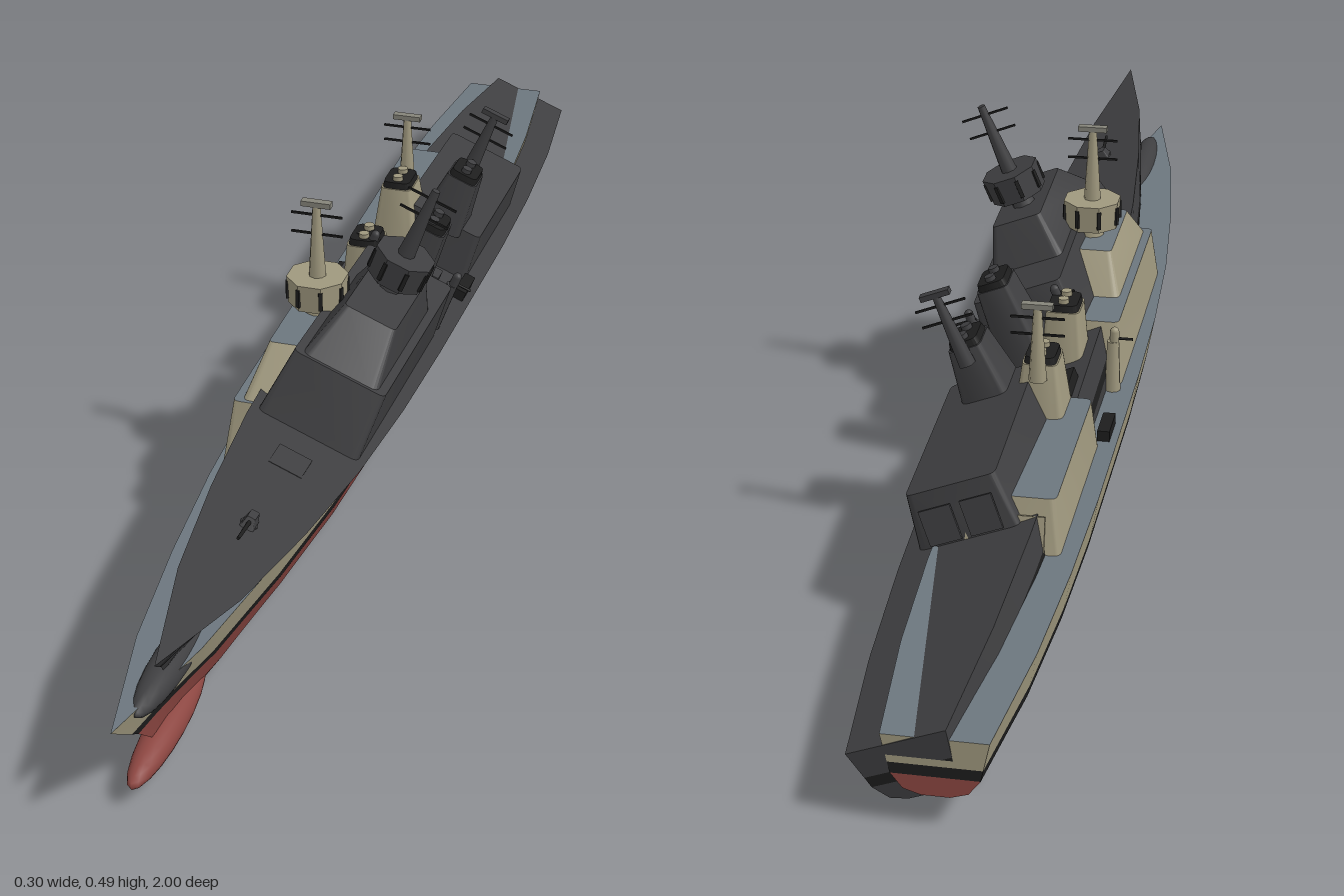
import * as THREE from 'three';
import { mergeGeometries, toCreasedNormals } from 'three/addons/utils/BufferGeometryUtils.js';

const paint = (name, hex) => {
  const m = new THREE.MeshStandardMaterial({ color: hex });
  m.name = name;
  return m;
};

// Half beam from stern (t = 0) to stem (t = 1)
const BEAM = [0.066, 0.086, 0.096, 0.1, 0.1, 0.1, 0.097, 0.088, 0.07, 0.044, 0];
function beam(t) {
  const s = t * 10, i = Math.min(9, Math.floor(s));
  return THREE.MathUtils.lerp(BEAM[i], BEAM[i + 1], s - i);
}

// Hull lines from keel to deck edge: width, fullness, height at stern / middle / bow, stem z
const LINES = [
  { w: 0, p: 1, y: [0.045, 0, 0.02], stem: 0.83 },
  { w: 0.36, p: 1.7, y: [0.045, 0, 0.02], stem: 0.83 },
  { w: 0.74, p: 1.5, y: [0.052, 0.025, 0.04], stem: 0.86 },
  { w: 0.9, p: 1.2, y: [0.072, 0.066, 0.09], stem: 0.915 },
  { w: 0.93, p: 1.15, y: [0.087, 0.082, 0.105], stem: 0.935 },
  { w: 1, p: 1, y: [0.125, 0.128, 0.156], stem: 1 },
];
function linePoint(l, t) {
  const aft = Math.max(0, 1 - t / 0.3) ** 1.5, fore = Math.max(0, (t - 0.55) / 0.45) ** 1.6;
  const y = l.y[1] + (l.y[0] - l.y[1]) * aft + (l.y[2] - l.y[1]) * fore;
  return [l.w * 0.1 * (beam(t) / 0.1) ** l.p, y, -1 + t * (l.stem + 1)];
}

// Skin between two rows of points, mirrored to both sides
function strip(low, high) {
  const n = low.length;
  const sides = [1, -1].map((s) => {
    const g = new THREE.BufferGeometry(), index = [];
    const pos = [...low, ...high].flatMap(([x, y, z]) => [x * s, y, z]);
    for (let i = 0; i < n - 1; i++) {
      const a = i, b = i + 1, d = n + i, c = n + i + 1;
      index.push(...(s > 0 ? [a, d, b, b, d, c] : [a, b, d, b, c, d]));
    }
    g.setAttribute('position', new THREE.Float32BufferAttribute(pos, 3));
    g.setIndex(index);
    g.computeVertexNormals();
    return g;
  });
  return mergeGeometries(sides);
}

// Tapered block with rounded corners standing on its base
function taperBlock(w, l, w1, l1, h, shift = 0, r = 0.012) {
  const a = w / 2, b = l / 2, s = new THREE.Shape();
  s.moveTo(-a + r, -b).lineTo(a - r, -b).quadraticCurveTo(a, -b, a, -b + r);
  s.lineTo(a, b - r).quadraticCurveTo(a, b, a - r, b);
  s.lineTo(-a + r, b).quadraticCurveTo(-a, b, -a, b - r);
  s.lineTo(-a, -b + r).quadraticCurveTo(-a, -b, -a + r, -b);
  const g = new THREE.ExtrudeGeometry(s, { depth: h, bevelEnabled: false, curveSegments: 4 });
  g.rotateX(-Math.PI / 2);
  const p = g.attributes.position;
  for (let i = 0; i < p.count; i++) {
    const f = p.getY(i) / h;
    p.setX(i, p.getX(i) * (1 + (w1 / w - 1) * f));
    p.setZ(i, p.getZ(i) * (1 + (l1 / l - 1) * f) + shift * f);
  }
  return toCreasedNormals(g, 0.6);
}

function buildShip(name, c, forePlate) {
  const ship = new THREE.Group();
  ship.name = name;
  const add = (part, geo, mat, x = 0, y = 0, z = 0) => {
    const m = new THREE.Mesh(geo, mat);
    m.name = part;
    m.position.set(x, y, z);
    ship.add(m);
    return m;
  };
  const box = (part, w, h, d, mat, x, y, z) => add(part, new THREE.BoxGeometry(w, h, d), mat, x, y, z);
  const roofed = [c.deck, c.wall];

  // Hull skin and transom in bands
  const ts = Array.from({ length: 41 }, (_, i) => i / 40);
  const rows = LINES.map((l) => ts.map((t) => linePoint(l, t)));
  const mid = (p) => [0, p[1], p[2]];
  const band = (from, to) => {
    const parts = [];
    for (let j = from; j < to; j++) {
      const a = rows[j], b = rows[j + 1];
      parts.push(strip(a, b), strip([mid(a[0]), a[0]], [mid(b[0]), b[0]]));
    }
    return mergeGeometries(parts);
  };
  add('lowerHull', band(0, 3), c.bottom);
  add('waterlineStripe', band(3, 4), c.black);
  add('upperHull', band(4, 5), c.wall);
  add('deck', strip(rows[5], rows[5].map(mid)), c.deck);

  // Bow bulb and rudders
  const bulb = new THREE.SphereGeometry(1, 20, 14);
  bulb.scale(0.024, 0.022, 0.13);
  add('bowBulb', bulb, c.bottom, 0, 0.032, 0.82);
  for (const s of [1, -1]) box('rudder', 0.008, 0.05, 0.06, c.bottom, s * 0.032, 0.035, -0.88);

  // Forward and aft superstructure
  add('foreHouse', taperBlock(0.158, 0.43, 0.142, 0.37, 0.1, -0.012), roofed, 0, 0.122, 0.17);
  add('bridge', taperBlock(0.118, 0.28, 0.08, 0.17, 0.062, -0.015), roofed, 0, 0.22, 0.2);
  add('hangar', taperBlock(0.15, 0.33, 0.132, 0.3, 0.08, 0.005), roofed, 0, 0.122, -0.4);
  for (const s of [1, -1]) {
    const door = box('hangarDoor', 0.046, 0.05, 0.004, c.wall, s * 0.03, 0.156, -0.561);
    door.rotation.x = 0.22;
  }

  // Funnels with dark caps
  for (const [z, base, top] of [[-0.085, 0.122, 0.272], [-0.275, 0.19, 0.278]]) {
    add('funnel', taperBlock(0.074, 0.09, 0.05, 0.062, top - base, 0, 0.016), c.wall, 0, base, z);
    add('funnelCap', taperBlock(0.046, 0.058, 0.042, 0.054, 0.01, 0, 0.012), c.black, 0, top, z);
    for (const s of [1, -1]) {
      const pipe = new THREE.CylinderGeometry(0.008, 0.008, 0.016, 10);
      add('exhaust', pipe, c.wall, 0, top + 0.009, z + s * 0.014);
    }
  }

  // Fore mast: neck, faceted radar drum, pole, yards and top plate
  add('mastNeck', new THREE.CylinderGeometry(0.014, 0.02, 0.03, 8), c.wall, 0, 0.29, 0.165);
  const drum = new THREE.CylinderGeometry(0.045, 0.043, 0.042, 8, 1).toNonIndexed();
  drum.rotateY(Math.PI / 8);
  drum.computeVertexNormals();
  add('radarDrum', drum, c.wall, 0, 0.32, 0.165);
  for (let i = 0; i < 8; i++) {
    const a = (i * Math.PI) / 4 + Math.PI / 8;
    const panel = box('drumPanel', 0.006, 0.028, 0.005, c.black, 0.0435 * Math.sin(a), 0.32, 0.165 + 0.0435 * Math.cos(a));
    panel.rotation.y = a;
  }
  const mast = (y0, y1, z, yards, plate) => {
    add('mast', new THREE.CylinderGeometry(0.006, 0.013, y1 - y0, 8), c.wall, 0, (y0 + y1) / 2, z);
    for (const y of yards) box('yard', 0.076, 0.003, 0.003, c.black, 0, y, z);
    if (plate) box('mastRadar', 0.044, 0.008, 0.012, c.trim, 0, y1 + 0.003, z);
  };
  mast(0.34, 0.452, 0.165, [0.437, 0.407], forePlate);
  mast(0.26, 0.37, -0.315, [0.355, 0.33], true);

  // Side turrets between the houses
  for (const s of [1, -1]) {
    add('sidePedestal', new THREE.CylinderGeometry(0.009, 0.012, 0.085, 10), c.wall, s * 0.068, 0.165, -0.06);
    add('sideTurret', new THREE.CapsuleGeometry(0.007, 0.016, 4, 10), c.wall, s * 0.07, 0.215, -0.06);
    const barrel = add('sideBarrel', new THREE.CylinderGeometry(0.002, 0.002, 0.035, 6), c.black, s * 0.08, 0.212, -0.06);
    barrel.rotation.z = Math.PI / 2;
    box('deckLauncher', 0.018, 0.016, 0.06, c.black, s * 0.08, 0.136, -0.2);
    box('deckLocker', 0.02, 0.024, 0.03, c.wall, s * 0.03, 0.138, -0.175);
  }

  // Foredeck gun and hatch
  add('gunBase', new THREE.CylinderGeometry(0.012, 0.014, 0.01, 12), c.deck, 0, 0.137, 0.64);
  add('gunTurret', taperBlock(0.02, 0.028, 0.012, 0.018, 0.014, -0.003, 0.004), c.wall, 0, 0.141, 0.64);
  const gun = add('gunBarrel', new THREE.CylinderGeometry(0.0022, 0.003, 0.05, 8), c.black, 0, 0.151, 0.672);
  gun.rotation.x = Math.PI / 2 - 0.1;
  box('missileHatch', 0.05, 0.006, 0.05, c.deck, 0, 0.133, 0.46);
  return ship;
}

export function createModel() {
  const model = new THREE.Group();
  model.name = 'twoWarships';
  const black = paint('black', 0x1d1d1d), charcoal = paint('charcoal', 0x3e3e40);
  const trim = paint('mastGrey', 0x85847a);

  const tan = buildShip('paleShip', {
    wall: paint('paleTan', 0x9f987e), deck: paint('deckBlueGrey', 0x6c767e),
    bottom: paint('hullRed', 0x8c4641), black, trim,
  }, true);
  tan.position.x = -0.05;

  // Second ship lies across the first, rolled to its left and bow up
  const dark = buildShip('darkShip', {
    wall: charcoal, deck: charcoal, bottom: charcoal, black, trim: charcoal,
  }, false);
  dark.position.set(-0.05, 0.06, 0.004);
  dark.rotation.set(-0.06, 0, -0.384);

  model.add(tan, dark);
  return model;
}
